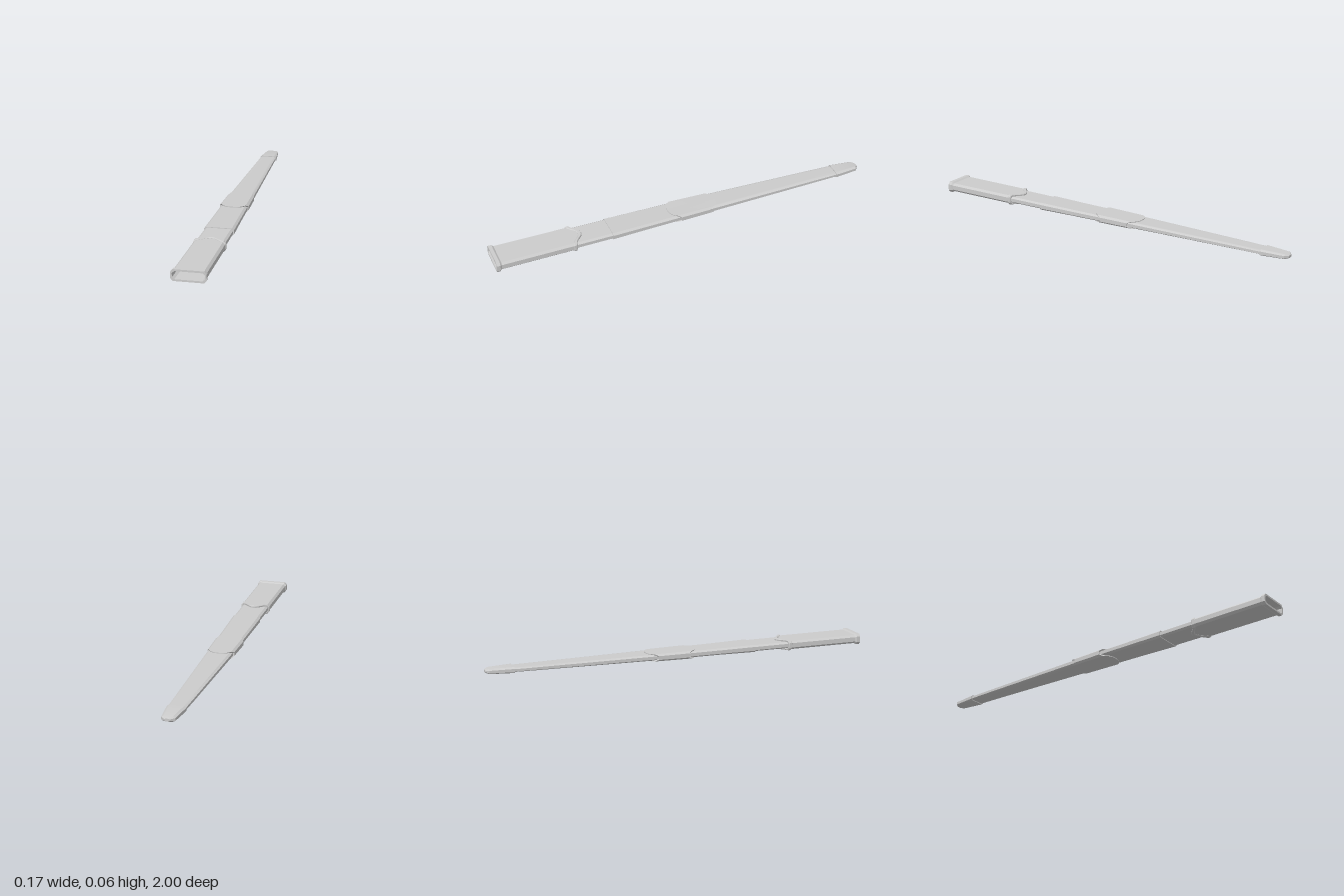
import * as THREE from 'three';
import { toCreasedNormals } from 'three/addons/utils/BufferGeometryUtils.js';

const CY = 0.028; // height of the long axis
const material = new THREE.MeshStandardMaterial({ color: 0xcccccc, side: THREE.DoubleSide });

const ogee = (u) => 0.5 + 0.5 * Math.cos(Math.PI * u);
const oval = (u) => 1 - Math.abs(u) ** 3;

// Chamfered rectangle, counter-clockwise seen from +z, long edges subdivided
function ring({ z, w, h, cx = 0, b = 0 }, curve) {
  const c = Math.min(0.011, w * 0.4), d = h * 0.47, n = 16, pts = [];
  const add = (x, y) => pts.push([cx + x, CY + y, z + b * curve(x / w)]);
  add(w, -h + d);
  add(w, h - d);
  for (let i = 0; i <= n; i++) add((w - c) * (1 - (2 * i) / n), h);
  add(-w, h - d);
  add(-w, -h + d);
  for (let i = 0; i <= n; i++) add((w - c) * ((2 * i) / n - 1), -h);
  return pts;
}

// Skin through stations; fans close the ends when asked
function loft(name, stations, { curve = oval, fanStart = false, fanEnd = false } = {}) {
  const rings = stations.map((s) => ring(s, curve));
  const n = rings[0].length, pos = [], index = [];
  rings.forEach((r) => r.forEach((p) => pos.push(...p)));
  for (let i = 0; i < rings.length - 1; i++) {
    for (let k = 0; k < n; k++) {
      const a = i * n + k, b = i * n + ((k + 1) % n);
      index.push(a, b, b + n, a, b + n, a + n);
    }
  }
  const fan = (i, flip) => {
    const s = stations[i], centre = pos.length / 3;
    pos.push(s.cx ?? 0, CY, s.z);
    for (let k = 0; k < n; k++) {
      const a = i * n + k, b = i * n + ((k + 1) % n);
      index.push(...(flip ? [b, a, centre] : [a, b, centre]));
    }
  };
  if (fanStart) fan(0, true);
  if (fanEnd) fan(rings.length - 1, false);
  const g = new THREE.BufferGeometry();
  g.setAttribute('position', new THREE.Float32BufferAttribute(pos, 3));
  g.setIndex(index);
  const mesh = new THREE.Mesh(toCreasedNormals(g, 0.5), material);
  mesh.name = name;
  return mesh;
}

// Adds a step face at both ends, dropping inside the neighbouring part
const stepped = (list) => {
  const inner = (s) => ({ ...s, w: s.w * 0.9, h: s.h * 0.5 });
  return [inner(list[0]), ...list, inner(list[list.length - 1])];
};

export function createModel() {
  const model = new THREE.Group();
  model.name = 'scabbard';

  // Mouth rim with its hollow
  model.add(loft('mouthRim', [
    { z: 0.972, w: 0.077, h: 0.021 },
    { z: 0.982, w: 0.083, h: 0.028 },
    { z: 1, w: 0.083, h: 0.028 },
    { z: 1, w: 0.075, h: 0.019 },
    { z: 0.9, w: 0.071, h: 0.015 },
  ], { fanEnd: true }));

  // Throat sleeve with a pointed lower edge
  model.add(loft('throatSleeve', [
    { z: 0.6, w: 0.066, h: 0.01, b: -0.05 },
    { z: 0.6, w: 0.076, h: 0.022, b: -0.05 },
    { z: 0.985, w: 0.078, h: 0.022 },
  ], { curve: ogee }));

  // Raised band along the lower edge of the sleeve
  model.add(loft('throatBand', stepped([
    { z: 0.587, w: 0.076, h: 0.023, b: -0.045 },
    { z: 0.591, w: 0.079, h: 0.027, b: -0.045 },
    { z: 0.602, w: 0.079, h: 0.027, b: -0.045 },
    { z: 0.606, w: 0.076, h: 0.023, b: -0.045 },
  ]), { curve: ogee }));

  // Narrow neck under the throat
  model.add(loft('neck', stepped([
    { z: 0.36, w: 0.069, h: 0.0155 },
    { z: 0.64, w: 0.071, h: 0.0165 },
  ])));

  // Upper body, slightly thicker than the neck
  model.add(loft('upperBody', stepped([
    { z: -0.02, w: 0.066, h: 0.0155, cx: -0.004 },
    { z: 0.2, w: 0.07, h: 0.0165, cx: -0.002 },
    { z: 0.4, w: 0.074, h: 0.019 },
  ])));

  // Middle sleeve with bowed ends
  model.add(loft('middleSleeve', stepped([
    { z: -0.13, w: 0.069, h: 0.0185, cx: -0.005, b: -0.05 },
    { z: 0.03, w: 0.0735, h: 0.02, cx: -0.005, b: 0.05 },
  ])));

  // Long tapering lower body
  model.add(loft('lowerBody', stepped([
    { z: -0.9, w: 0.041, h: 0.0105, cx: -0.002 },
    { z: -0.74, w: 0.046, h: 0.0115, cx: -0.003 },
    { z: -0.06, w: 0.066, h: 0.0155, cx: -0.004 },
  ])));

  // Chape covering the point
  model.add(loft('tipCap', [
    { z: -1, w: 0.012, h: 0.007 },
    { z: -0.983, w: 0.033, h: 0.0125, cx: -0.001 },
    { z: -0.862, w: 0.046, h: 0.015, cx: -0.002 },
    { z: -0.862, w: 0.038, h: 0.007, cx: -0.002 },
  ], { fanStart: true }));

  return model;
}
